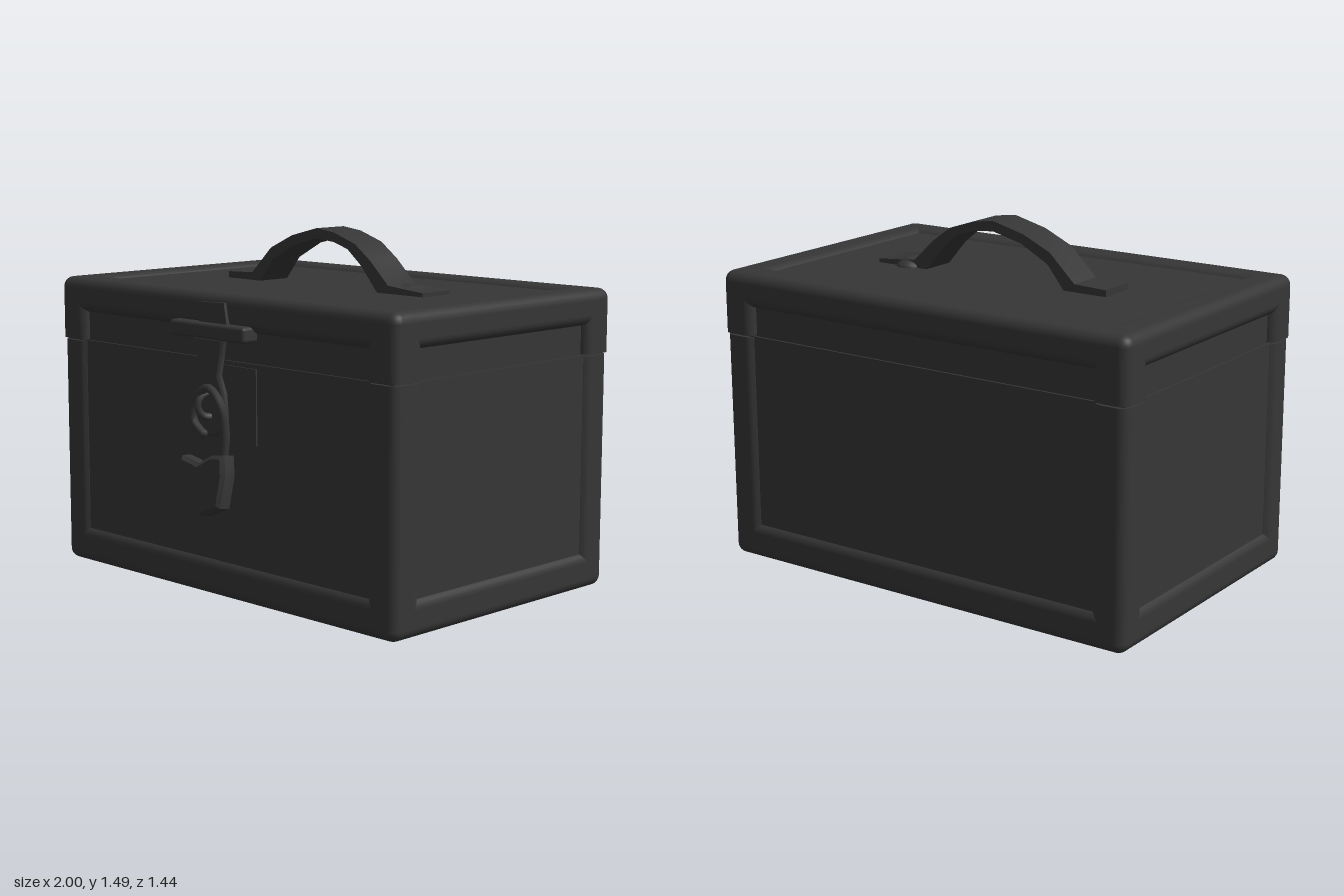
import * as THREE from 'three';
import { RoundedBoxGeometry } from 'three/addons/geometries/RoundedBoxGeometry.js';
import { toCreasedNormals } from 'three/addons/utils/BufferGeometryUtils.js';

export function createModel() {
  const model = new THREE.Group();
  model.name = 'lockbox';
  const darkIron = new THREE.MeshStandardMaterial({ color: 0x363636 });
  darkIron.name = 'dark iron';

  const add = (name, geometry, parent = model) => {
    const mesh = new THREE.Mesh(geometry, darkIron);
    mesh.name = name;
    parent.add(mesh);
    return mesh;
  };
  const group = (name) => {
    const g = new THREE.Group();
    g.name = name;
    model.add(g);
    return g;
  };
  // Box given by its minimum and maximum corners; r rounds the edges
  const box = (name, a, b, r, parent) => {
    const s = b.map((v, i) => v - a[i]);
    const geo = r ? new RoundedBoxGeometry(...s, 3, r) : new THREE.BoxGeometry(...s);
    geo.translate(...a.map((v, i) => v + s[i] / 2));
    return add(name, geo, parent);
  };
  // Outline in x and y, extruded from z0 to z1
  const plate = (name, pts, z0, z1, bevel = 0, parent = model) => {
    const shape = new THREE.Shape(pts.map(([x, y]) => new THREE.Vector2(x, y)));
    const geo = new THREE.ExtrudeGeometry(shape, {
      depth: z1 - z0 - 2 * bevel, bevelEnabled: bevel > 0, bevelSize: bevel,
      bevelThickness: bevel, bevelOffset: -bevel, bevelSegments: 1,
    });
    geo.translate(0, 0, z0 + bevel);
    return add(name, toCreasedNormals(geo, 0.7), parent);
  };

  const Z0 = -0.71, Z1 = 0.6, W = 0.16, R = 0.045;

  // Four rails around one level
  const rails = (parent, y0, y1, e) => {
    for (const [z0, z1] of [[Z0 + e, Z0 + W], [Z1 - W, Z1 - e]])
      box('longRail', [-1 + e, y0, z0], [1 - e, y1, z1], R, parent);
    for (const [x0, x1] of [[-1 + e, -1 + W], [1 - W, 1 - e]])
      box('shortRail', [x0, y0, Z0 + e], [x1, y1, Z1 - e], R, parent);
  };

  // Upright corner posts with rounded edges and flat ends
  const posts = (parent, y0, y1, e) => {
    const w = W - e, h = w / 2, k = h - R;
    const shape = new THREE.Shape();
    [[k, k, 0], [-k, k, 1], [-k, -k, 2], [k, -k, 3]].forEach(([x, y, q]) =>
      shape.absarc(x, y, R, q * Math.PI / 2, (q + 1) * Math.PI / 2, false));
    for (const x of [-1 + e + h, 1 - e - h]) {
      for (const z of [Z0 + e + h, Z1 - e - h]) {
        const geo = new THREE.ExtrudeGeometry(shape, { depth: y1 - y0, bevelEnabled: false, curveSegments: 4 });
        geo.rotateX(-Math.PI / 2).translate(x, y0, z);
        add('cornerPost', toCreasedNormals(geo, 0.7), parent);
      }
    }
  };

  // Body with recessed panels
  const body = group('body');
  box('bodyPanels', [-0.975, 0.025, Z0 + 0.025], [0.975, 0.998, Z1 - 0.025], 0, body);
  rails(body, 0.01, 0.17, 0.006);
  posts(body, 0.08, 0.994, 0.006);

  // Lid with a framed top and a sunken strip under the rails
  const lid = group('lid');
  box('lidPanels', [-0.965, 0.99, Z0 + 0.035], [0.965, 1.252, Z1 - 0.035], 0, lid);
  rails(lid, 1.12, 1.268, 0);
  posts(lid, 1.002, 1.2, 0);

  // Strap handle and its two feet
  const handle = group('handle');
  plate('handleStrap', [
    [-0.55, 1.25], [-0.35, 1.25], [-0.27, 1.35], [-0.14, 1.42], [0, 1.455], [0.1, 1.445],
    [0.18, 1.42], [0.26, 1.355], [0.35, 1.25], [0.6, 1.25], [0.6, 1.268], [0.41, 1.285],
    [0.31, 1.38], [0.22, 1.445], [0.1, 1.485], [0, 1.498], [-0.15, 1.46], [-0.28, 1.4],
    [-0.4, 1.285], [-0.55, 1.28],
  ], -0.15, 0.012, 0, handle);
  const foot = add('handleFoot', new THREE.SphereGeometry(1, 14, 8), handle);
  foot.scale.set(0.075, 0.045, 0.1);
  foot.position.set(0.45, 1.245, -0.09);

  // Hasp: hinge, strap and staple
  const hasp = group('hasp');
  box('hingeBar', [-0.22, 1.085, 0.56], [0.225, 1.15, 0.645], 0.015, hasp);
  plate('hingePlate', [[-0.07, 1.13], [0.1, 1.13], [0.08, 1.235], [-0.06, 1.23]], 0.58, 0.615, 0, hasp);
  plate('haspStrap', [
    [-0.09, 1.09], [-0.05, 0.94], [-0.09, 0.86], [-0.08, 0.74], [-0.03, 0.69], [0.05, 0.69],
    [0.1, 0.76], [0.09, 0.87], [0.06, 0.94], [0.09, 1.09],
  ], 0.6, 0.632, 0.008, hasp);
  plate('backPlate', [[-0.08, 0.67], [0.23, 0.67], [0.23, 0.98], [-0.08, 0.98]], 0.57, 0.582, 0, hasp);
  box('staplePost', [-0.04, 0.72, 0.57], [0.05, 0.88, 0.61], 0, hasp);
  const staple = add('staple', new THREE.TorusGeometry(0.05, 0.016, 6, 14), hasp);
  staple.rotation.y = Math.PI / 2 - 0.3;
  staple.position.set(0.01, 0.82, 0.635);

  // Open padlock hanging from the staple
  const padlock = group('padlock');
  const lock = plate('padlockBody', [
    [-0.095, 0.605], [-0.1, 0.5], [-0.055, 0.42], [0.05, 0.375], [0.155, 0.42],
    [0.17, 0.55], [0.155, 0.635], [0.08, 0.625], [0.01, 0.585],
  ], -0.04, 0.04, 0.015, padlock);
  lock.geometry.translate(0, -0.5, 0);
  lock.position.set(0, 0.5, 0.676);
  lock.rotation.x = -0.12;
  const shackle = new THREE.CatmullRomCurve3([
    [0.12, 0.58, 0.66], [0.13, 0.72, 0.655], [0.11, 0.83, 0.66], [0.04, 0.895, 0.665],
    [-0.035, 0.84, 0.67], [-0.05, 0.755, 0.665], [0.0, 0.705, 0.66],
  ].map((p) => new THREE.Vector3(...p)));
  add('shackle', new THREE.TubeGeometry(shackle, 28, 0.018, 7, false), padlock);
  const tip = add('shackleTip', new THREE.SphereGeometry(0.02, 8, 6), padlock);
  tip.position.set(0.0, 0.705, 0.66);

  return model;
}
